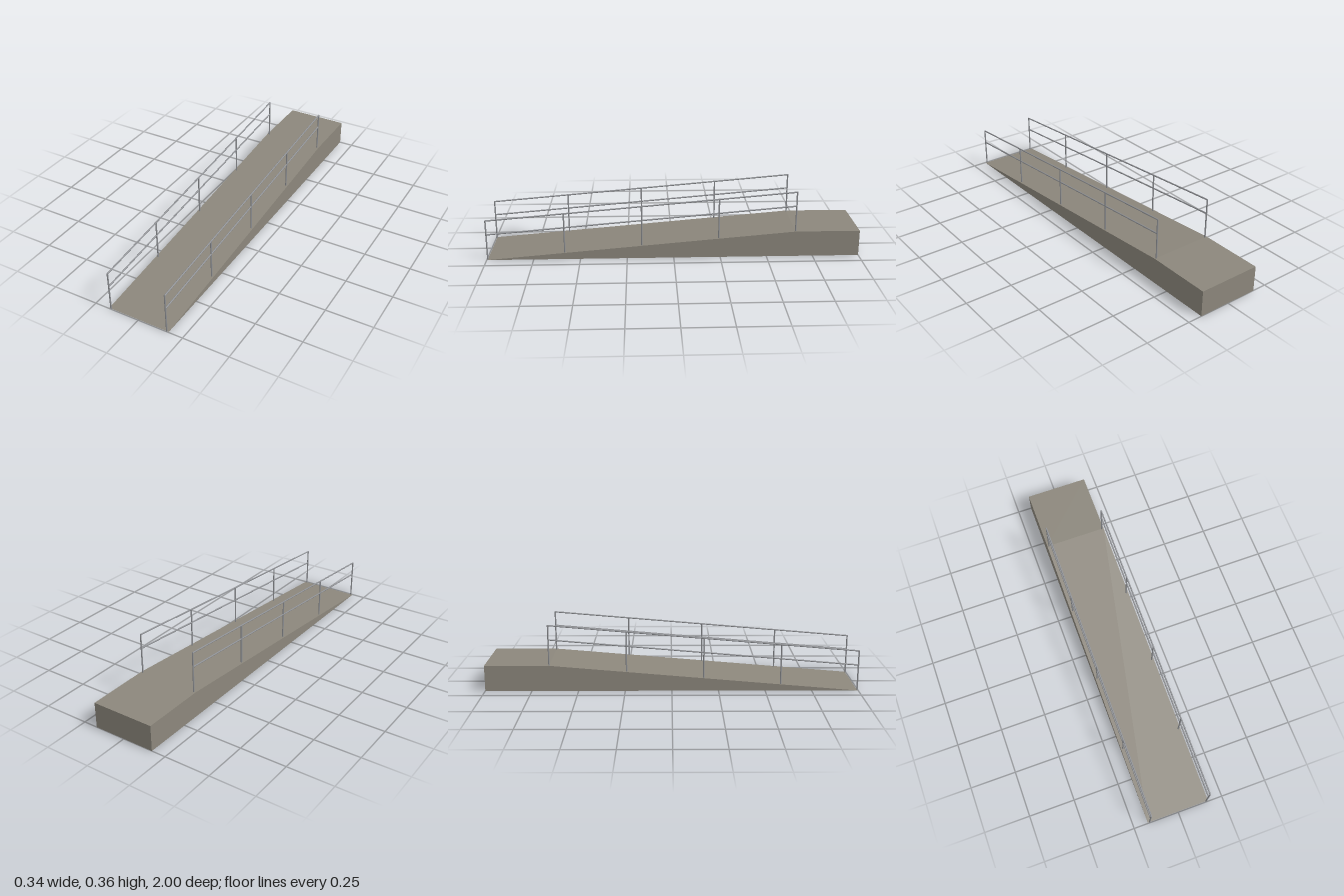
import * as THREE from 'three';

const FRONT = 0.996, CREST = -0.655, BACK = -1, RISE = 0.14;
const HALF_WIDTH = 0.172, RAIL_X = 0.161, RADIUS = 0.004;
const RAIL_HEIGHT = 0.22, MID_HEIGHT = 0.14, POSTS = 5;

export function createModel() {
  const concrete = new THREE.MeshStandardMaterial({ color: 0x8c877c });
  concrete.name = 'concrete';
  const steel = new THREE.MeshStandardMaterial({ color: 0x8f9195 });
  steel.name = 'steel';

  const model = new THREE.Group();
  model.name = 'accessRamp';

  // Sloped ramp with a level landing, extruded across its width
  const profile = new THREE.Shape([
    new THREE.Vector2(FRONT, 0),
    new THREE.Vector2(CREST, RISE),
    new THREE.Vector2(BACK, RISE),
    new THREE.Vector2(BACK, 0),
  ]);
  const rampGeometry = new THREE.ExtrudeGeometry(profile, { depth: HALF_WIDTH * 2, bevelEnabled: false });
  rampGeometry.translate(0, 0, -HALF_WIDTH).rotateY(-Math.PI / 2);
  const ramp = new THREE.Mesh(rampGeometry, concrete);
  ramp.name = 'ramp';
  model.add(ramp);

  // Round bar between two points
  const bar = (name, from, to) => {
    const along = to.clone().sub(from);
    const mesh = new THREE.Mesh(new THREE.CylinderGeometry(RADIUS, RADIUS, along.length(), 12), steel);
    mesh.name = name;
    mesh.position.copy(from).add(to).multiplyScalar(0.5);
    mesh.quaternion.setFromUnitVectors(new THREE.Vector3(0, 1, 0), along.normalize());
    return mesh;
  };

  // Point at fraction t up the slope, at a height above the ramp surface
  const onSlope = (x, t, height) =>
    new THREE.Vector3(x, RISE * t + height, THREE.MathUtils.lerp(FRONT, CREST, t));

  // Matching handrails on both sides
  for (const [name, side] of [['leftHandrail', 1], ['rightHandrail', -1]]) {
    const x = side * RAIL_X;
    const handrail = new THREE.Group();
    handrail.name = name;
    for (let i = 0; i < POSTS; i++) {
      const t = i / (POSTS - 1);
      handrail.add(bar('post', onSlope(x, t, 0), onSlope(x, t, RAIL_HEIGHT)));
    }
    handrail.add(bar('topRail', onSlope(x, 0, RAIL_HEIGHT - 0.002), onSlope(x, 1, RAIL_HEIGHT - 0.002)));
    handrail.add(bar('midRail', onSlope(x, 0, MID_HEIGHT), onSlope(x, 1, MID_HEIGHT)));
    model.add(handrail);
  }
  return model;
}
